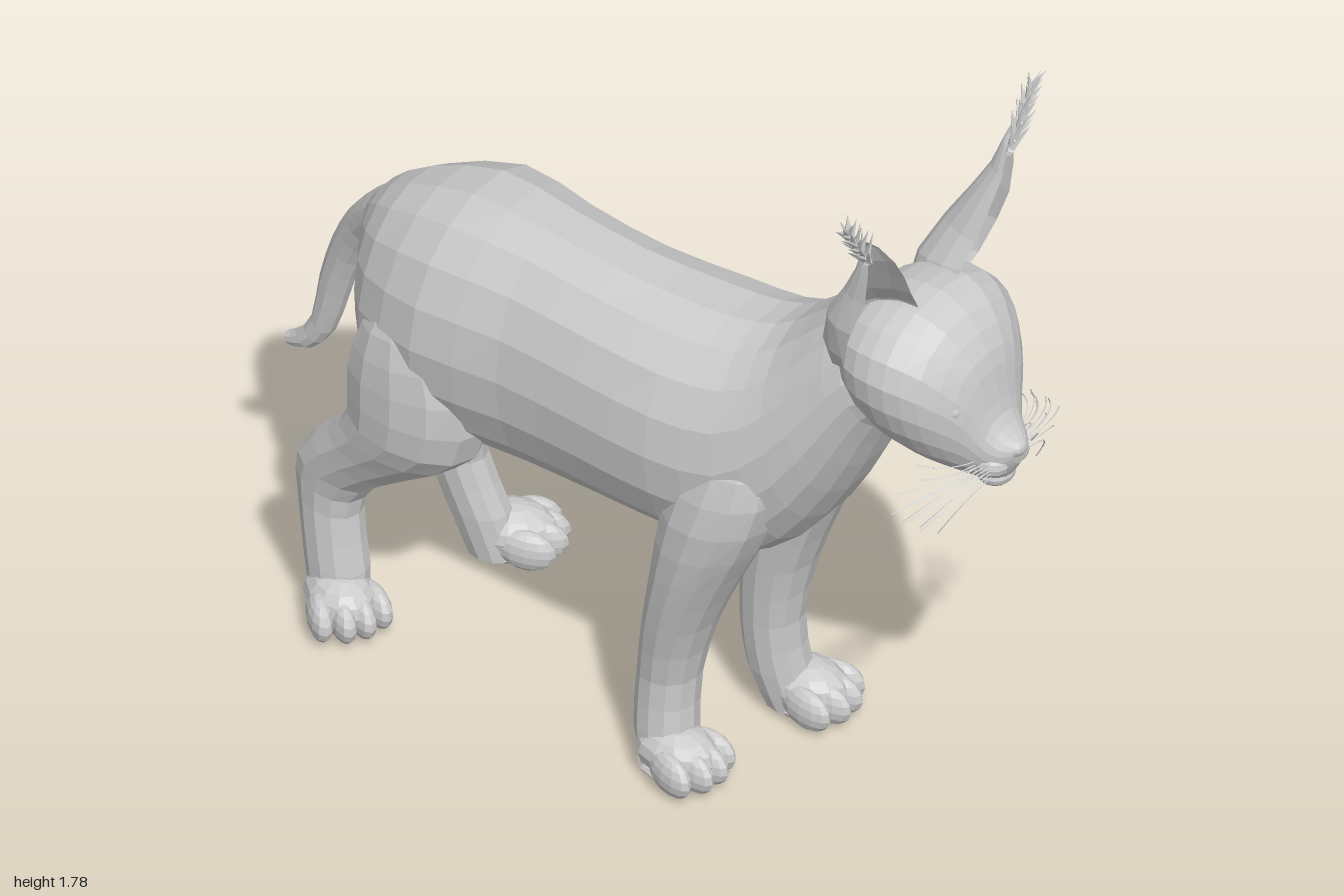
import * as THREE from 'three';

const mat = new THREE.MeshStandardMaterial({ color: 0xcccccc, flatShading: true, side: THREE.DoubleSide });
const smooth = new THREE.MeshStandardMaterial({ color: 0xcccccc });

function add(parent, name, geometry, material = mat) {
  const mesh = new THREE.Mesh(geometry, material);
  mesh.name = name;
  parent.add(mesh);
  return mesh;
}

// Builds a triangle grid from rows of points; closed rows wrap round and get end caps
function grid(rows, closed) {
  const n = rows[0].length, pos = rows.flat(2), idx = [];
  for (let i = 0; i < rows.length - 1; i++)
    for (let j = 0; j < (closed ? n : n - 1); j++) {
      const a = i * n + j, b = i * n + (j + 1) % n;
      idx.push(a, b, b + n, a, b + n, a + n);
    }
  if (closed) for (let j = 1; j < n - 1; j++) {
    const e = (rows.length - 1) * n;
    idx.push(0, j + 1, j, e, e + j, e + j + 1);
  }
  // Turn the faces outward when the signed volume is negative
  const p = i => new THREE.Vector3().fromArray(pos, i * 3);
  const mid = p(0);
  let vol = 0;
  for (let i = 0; i < idx.length; i += 3)
    vol += p(idx[i]).sub(mid).dot(p(idx[i + 1]).sub(mid).cross(p(idx[i + 2]).sub(mid)));
  if (vol < 0) idx.reverse();
  const g = new THREE.BufferGeometry();
  g.setAttribute('position', new THREE.Float32BufferAttribute(pos, 3));
  g.setIndex(idx);
  g.computeVertexNormals();
  return g;
}

// Adds a curved halfway section between each pair
function refine(s) {
  const at = i => s[Math.max(0, Math.min(s.length - 1, i))];
  return s.flatMap((a, i) => i === s.length - 1 ? [a] : [a,
    a.map((v, k) => (9 * (v + at(i + 1)[k]) - at(i - 1)[k] - at(i + 2)[k]) / 16)]);
}

// Oval sections: [x1, y1, x2, y2, z, halfWidth], the two points being opposite edges
function loft(sections, sides = 16, egg = 0, power = 0.9) {
  return grid(refine(sections).map(([x1, y1, x2, y2, z, w]) =>
    Array.from({ length: sides }, (_, j) => {
      const t = (j / sides) * Math.PI * 2, s = Math.sin(t), c = Math.cos(t);
      const k = Math.sign(c) * Math.abs(c) ** power * (1 + egg * s);
      return [(x1 + x2) / 2 + s * (x1 - x2) / 2, (y1 + y2) / 2 + s * (y1 - y2) / 2, z + w * k];
    })), true);
}

function ball(parent, name, [x, y, z], [rx, ry, rz], material = mat) {
  const m = add(parent, name, new THREE.SphereGeometry(1, 12, 8), material);
  m.position.set(x, y, z);
  m.scale.set(rx, ry, rz);
  return m;
}

// Leg with paw: side s, sheared by dx and dz towards the ground
function leg(parent, name, sections, s, dx, dz, paw, yaw) {
  const g = new THREE.Group();
  g.name = name;
  parent.add(g);
  const t = y => 1 - Math.min(1, y / 0.8);
  add(g, 'limb', loft(sections.map(([x1, y1, x2, y2, z, w]) =>
    [x1 + dx * t(y1), y1, x2 + dx * t(y2), y2, s * (z + dz * t(y1)), w]), 12));
  const foot = new THREE.Group();
  foot.name = 'paw';
  foot.position.set(paw[0] + dx, 0, s * (paw[1] + dz));
  foot.rotation.y = -s * yaw;
  g.add(foot);
  ball(foot, 'instep', [-0.005, 0.08, 0], [0.1, 0.06, 0.074]);
  ball(foot, 'solePad', [-0.01, 0.035, 0], [0.09, 0.022, 0.066]);
  for (let i = 0; i < 4; i++) {
    const o = i - 1.5;
    const toe = ball(foot, 'toe', [0.058 - 0.011 * o * o, 0.066, o * 0.041], [0.064, 0.048, 0.027]);
    toe.rotation.set(0, -o * 0.1, -0.12);
  }
}

function ear(parent, s) {
  const g = new THREE.Group();
  g.name = 'ear';
  parent.add(g);
  // Outer edge, inner edge and back of the shell, from base to tip
  const rows = [
    [[0.68, 1.29, 0.205], [0.77, 1.36, 0.05], [0.61, 1.28, 0.10]],
    [[0.70, 1.34, 0.236], [0.775, 1.42, 0.075], [0.615, 1.37, 0.14]],
    [[0.735, 1.43, 0.254], [0.785, 1.475, 0.11], [0.65, 1.45, 0.19]],
    [[0.77, 1.52, 0.25], [0.795, 1.54, 0.145], [0.70, 1.53, 0.21]],
    [[0.78, 1.6, 0.252], [0.80, 1.605, 0.185], [0.74, 1.6, 0.228]],
    [[0.78, 1.66, 0.252], [0.785, 1.66, 0.222], [0.76, 1.66, 0.242]],
    [[0.773, 1.7, 0.274], [0.775, 1.7, 0.266], [0.77, 1.7, 0.27]],
  ].map(([o, i, b]) => Array.from({ length: 9 }, (_, j) => {
    const a = (j / 8) * Math.PI, c = (1 - Math.cos(a)) / 2, d = Math.sin(a);
    return [0, 1, 2].map(k => {
      const e = o[k] + (i[k] - o[k]) * c;
      return (e + (b[k] - (o[k] + i[k]) / 2) * d) * (k === 2 ? s : 1);
    });
  }));
  add(g, 'earShell', grid(rows, false));

  // Tuft: thin hairs fanning out along a line beyond the tip
  const up = new THREE.Vector3(0, 1, 0);
  for (let i = 0; i < 30; i++) {
    const t = i / 29, a = i * 2.4, len = 0.085 - 0.03 * t;
    const hair = add(g, 'tuftHair', new THREE.ConeGeometry(0.009, len, 4));
    const dir = new THREE.Vector3(0.1 + Math.cos(a) * 0.4, 1, s * (0.6 + Math.sin(a) * 0.75)).normalize();
    hair.quaternion.setFromUnitVectors(up, dir);
    hair.position.set(0.775, 1.63 + 0.12 * t, s * (0.245 + 0.075 * t)).addScaledVector(dir, len * 0.4);
  }
}

export function createModel() {
  const model = new THREE.Group();
  model.name = 'wildCat';

  // Torso and neck, rump to throat
  add(model, 'body', loft([
    [-0.735, 0.96, -0.71, 0.85, -0.04, 0.04],
    [-0.68, 1.035, -0.67, 0.72, -0.02, 0.11],
    [-0.58, 1.112, -0.62, 0.61, 0, 0.185],
    [-0.40, 1.175, -0.44, 0.57, 0, 0.25],
    [-0.20, 1.18, -0.20, 0.58, 0.02, 0.22],
    [0, 1.17, 0, 0.59, 0.03, 0.22],
    [0.20, 1.165, 0.20, 0.59, 0.02, 0.24],
    [0.34, 1.175, 0.38, 0.60, 0.01, 0.23],
    [0.43, 1.21, 0.515, 0.74, 0, 0.21],
    [0.52, 1.285, 0.61, 0.91, 0, 0.18],
    [0.60, 1.345, 0.67, 1.04, 0, 0.155],
    [0.68, 1.36, 0.73, 1.08, 0, 0.12],
  ], 18));

  // Tail curving down behind
  add(model, 'tail', loft([
    [-0.64, 1.06, -0.64, 0.92, -0.025, 0.06],
    [-0.74, 0.97, -0.70, 0.87, -0.05, 0.05],
    [-0.81, 0.885, -0.75, 0.82, -0.07, 0.04],
    [-0.865, 0.78, -0.80, 0.73, -0.085, 0.035],
    [-0.905, 0.66, -0.84, 0.62, -0.095, 0.033],
    [-0.93, 0.54, -0.88, 0.51, -0.1, 0.03],
    [-0.97, 0.48, -0.93, 0.45, -0.1, 0.027],
    [-1.0, 0.46, -0.985, 0.432, -0.1, 0.018],
  ], 10));

  const foreLeg = [
    [0.29, 0.99, 0.42, 1.0, 0.14, 0.03],
    [0.24, 0.87, 0.48, 0.89, 0.15, 0.088],
    [0.195, 0.72, 0.45, 0.74, 0.155, 0.112],
    [0.165, 0.55, 0.37, 0.58, 0.15, 0.107],
    [0.135, 0.40, 0.295, 0.42, 0.146, 0.088],
    [0.112, 0.25, 0.25, 0.26, 0.142, 0.068],
    [0.11, 0.12, 0.25, 0.13, 0.152, 0.066],
    [0.135, 0.03, 0.26, 0.03, 0.165, 0.06],
  ];
  const hindLeg = [
    [-0.54, 0.95, -0.42, 0.98, 0.14, 0.04],
    [-0.60, 0.84, -0.35, 0.88, 0.145, 0.095],
    [-0.635, 0.72, -0.29, 0.74, 0.15, 0.11],
    [-0.635, 0.60, -0.32, 0.58, 0.15, 0.105],
    [-0.70, 0.51, -0.45, 0.475, 0.14, 0.085],
    [-0.785, 0.41, -0.60, 0.365, 0.13, 0.068],
    [-0.785, 0.30, -0.64, 0.28, 0.13, 0.06],
    [-0.765, 0.15, -0.62, 0.14, 0.135, 0.06],
    [-0.745, 0.03, -0.62, 0.03, 0.14, 0.055],
  ];
  leg(model, 'rightForeLeg', foreLeg, 1, 0, 0, [0.225, 0.172], 0.1);
  leg(model, 'leftForeLeg', foreLeg, -1, 0.075, 0.005, [0.225, 0.172], 0.1);
  leg(model, 'rightHindLeg', hindLeg, 1, 0, 0, [-0.66, 0.165], 0.55);
  leg(model, 'leftHindLeg', hindLeg, -1, 0.14, 0.08, [-0.66, 0.165], 0.55);

  // Head, back of the skull to the nose
  const head = new THREE.Group();
  head.name = 'head';
  model.add(head);
  add(head, 'skull', loft([
    [0.58, 1.31, 0.61, 1.13, 0, 0.10],
    [0.63, 1.38, 0.66, 1.07, 0, 0.165],
    [0.70, 1.41, 0.72, 1.04, 0, 0.20],
    [0.78, 1.417, 0.79, 1.02, 0, 0.202],
    [0.85, 1.385, 0.85, 1.01, 0, 0.172],
    [0.905, 1.31, 0.895, 1.0, 0, 0.12],
    [0.925, 1.24, 0.92, 0.995, 0, 0.088],
    [0.943, 1.17, 0.94, 1.0, 0, 0.066],
    [0.972, 1.13, 0.965, 1.025, 0, 0.047],
    [0.99, 1.115, 0.985, 1.06, 0, 0.025],
  ], 20, 0.25));
  ball(head, 'nose', [0.98, 1.1, 0], [0.02, 0.02, 0.027]);
  ball(head, 'chin', [0.925, 1.015, 0], [0.04, 0.028, 0.045]);

  for (const s of [1, -1]) {
    ear(head, s);
    ball(head, 'muzzlePad', [0.935, 1.062, s * 0.034], [0.044, 0.034, 0.036]);
    ball(head, 'eye', [0.88, 1.215, s * 0.097], [0.033, 0.03, 0.036], smooth);
    const lid = add(head, 'eyelid', new THREE.TorusGeometry(0.037, 0.008, 6, 16));
    lid.position.set(0.892, 1.215, s * 0.1);
    lid.rotation.y = Math.PI / 2 - s * 0.5;
    lid.scale.y = 0.75;
    // Whiskers sweeping out and back
    for (let i = 0; i < 12; i++) {
      const f = i / 11, k = i % 3, reach = 0.17 + 0.08 * Math.sin(f * Math.PI);
      const curve = new THREE.QuadraticBezierCurve3(
        new THREE.Vector3(0.955 - 0.015 * k, 1.045 + 0.03 * f, s * 0.055),
        new THREE.Vector3(0.965 - 0.02 * k, 1.05 + 0.05 * f, s * 0.16),
        new THREE.Vector3(0.90 - 0.03 * k, 0.94 + 0.15 * f, s * reach));
      add(head, 'whisker', new THREE.TubeGeometry(curve, 8, 0.0015, 3));
    }
  }
  return model;
}
